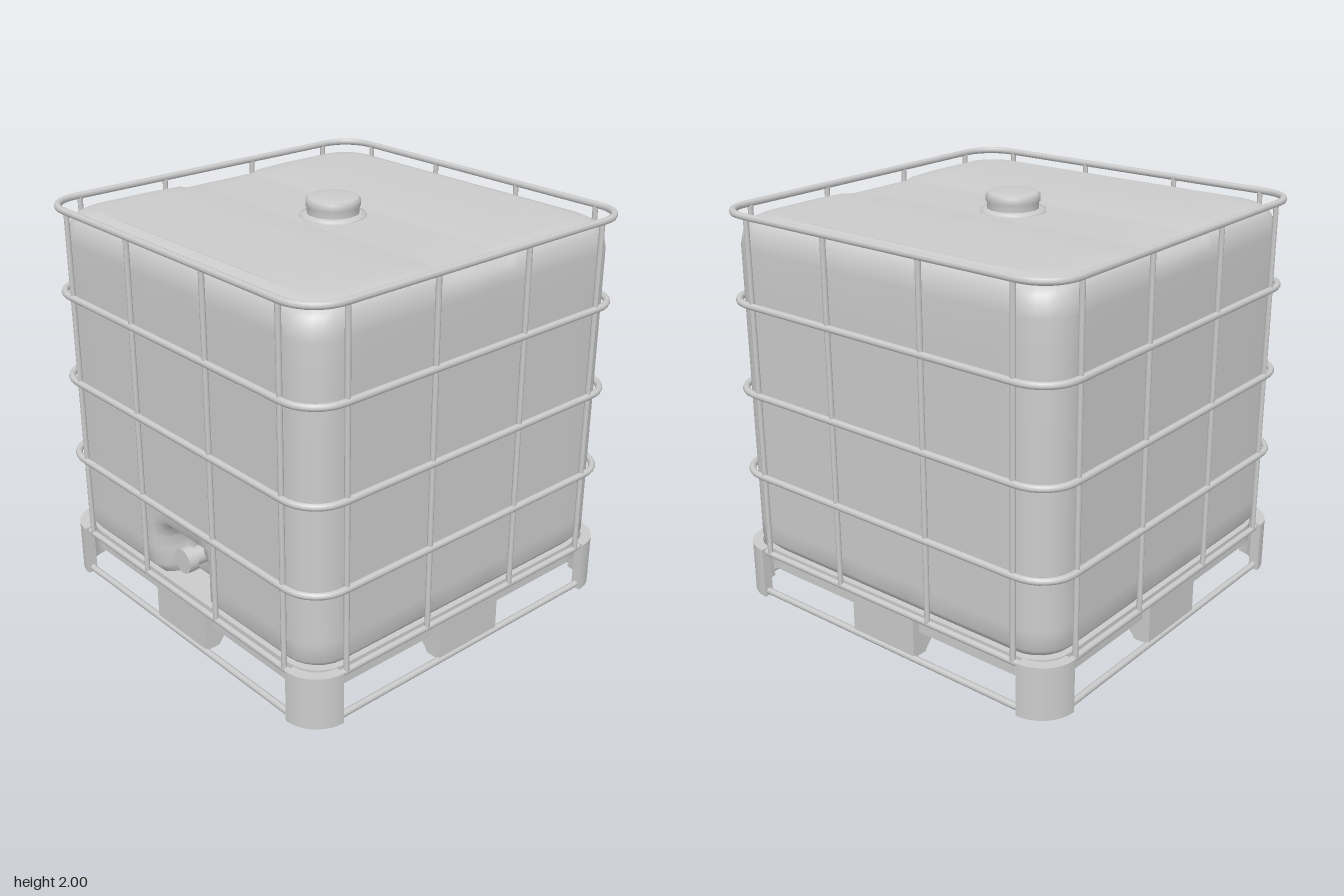
import * as THREE from 'three';

const grey = new THREE.MeshStandardMaterial({ color: 0xcccccc });
const thin = new THREE.MeshStandardMaterial({ color: 0xcccccc, side: THREE.DoubleSide });
const STOPS = [-0.66, -0.45, -0.27, -0.22, -0.18, -0.13, 0, 0.13, 0.18, 0.22, 0.27, 0.45, 0.66];

function add(parent, name, geometry, material = grey) {
  const mesh = new THREE.Mesh(geometry, material);
  mesh.name = name;
  parent.add(mesh);
  return mesh;
}

// Rounded square outline as [x, z], counter-clockwise seen from above
function outline(half, radius, steps = 6) {
  const points = [];
  const c = half - radius;
  for (let side = 0; side < 4; side++) {
    const a = side * Math.PI / 2;
    const put = (u, v) => points.push([
      u * Math.cos(a) - v * Math.sin(a), -(u * Math.sin(a) + v * Math.cos(a))]);
    for (const s of STOPS) put(half, s);
    for (let k = 0; k <= steps; k++) {
      const t = k / steps * Math.PI / 2;
      put(c + radius * Math.cos(t), c + radius * Math.sin(t));
    }
  }
  return points;
}

const fade = (v, a, b) => 1 - THREE.MathUtils.smoothstep(v, a, b);

// Tank: stacked outlines with a shallow groove on top and a valve recess at the side
function tankGeometry() {
  const rows = [[0.25, 0.89], [0.27, 0.91], [0.31, 0.94], [0.4, 0.94], [0.46, 0.94], [0.5, 0.94],
    [0.54, 0.94], [0.58, 0.94], [0.65, 0.94], [1.1, 0.94], [1.6, 0.94], [1.78, 0.94],
    [1.83, 0.932], [1.87, 0.918], [1.895, 0.9], [1.912, 0.87], [1.922, 0.82]];
  const position = [], index = [];
  const put = (x, y, z) => {
    const recess = x < -0.8 ? 0.14 * fade(Math.abs(z), 0.13, 0.2) * fade(y, 0.46, 0.58) : 0;
    const groove = y > 1.85 ? 0.018 * fade(Math.abs(x), 0.2, 0.28) : 0;
    position.push(x + recess, y - groove, z);
  };
  for (const [y, half] of rows) {
    for (const [x, z] of outline(0.94, 0.17)) put(x * half / 0.94, y, z * half / 0.94);
  }
  // top closes towards the centre line
  for (const t of [0.9, 0.5, 0]) {
    for (const [x, z] of outline(0.94, 0.17)) put(x * 0.82 / 0.94, 1.924, z * t * 0.82 / 0.94);
  }
  const n = outline(0.94, 0.17).length;
  for (let j = 0; j < rows.length + 2; j++) {
    for (let i = 0; i < n; i++) {
      const a = j * n + i, b = j * n + (i + 1) % n;
      index.push(a, b, b + n, a, b + n, a + n);
    }
  }
  const g = new THREE.BufferGeometry();
  g.setAttribute('position', new THREE.Float32BufferAttribute(position, 3));
  g.setIndex(index);
  g.computeVertexNormals();
  return g;
}

// Closed tube round the tank
function hoop(y, half, radius) {
  const path = new THREE.CatmullRomCurve3(
    outline(half, 0.17).map(([x, z]) => new THREE.Vector3(x, y, z)), true);
  return new THREE.TubeGeometry(path, 200, radius, 8, true);
}

function upright(shape, depth) {
  return new THREE.ExtrudeGeometry(shape, { depth, bevelEnabled: false, curveSegments: 10 })
    .rotateX(-Math.PI / 2);
}

export function createModel() {
  const model = new THREE.Group();
  model.name = 'containerTank';

  add(model, 'tank', tankGeometry(), thin);

  // Filler flange and domed cap
  const lathe = (pairs, sides) =>
    new THREE.LatheGeometry(pairs.map(([x, y]) => new THREE.Vector2(x, y)), sides);
  add(model, 'fillerFlange', lathe([[0.157, 1.895], [0.157, 1.915], [0.13, 1.922], [0.125, 1.922]], 14), thin);
  add(model, 'cap', lathe([[0.122, 1.915], [0.122, 1.953], [0.128, 1.956], [0.128, 1.985],
    [0.115, 1.996], [0.07, 2], [0, 2]], 24), thin);

  // Outlet valve in the recess
  const valve = new THREE.Group();
  valve.name = 'valve';
  model.add(valve);
  for (const [name, radius, length, x] of [['valveNeck', 0.045, 0.14, -0.83], ['valveCap', 0.062, 0.05, -0.91]]) {
    add(valve, name, new THREE.CylinderGeometry(radius, radius, length, 16).rotateZ(Math.PI / 2))
      .position.set(x, 0.42, 0);
  }

  // Base pan
  const pan = new THREE.Shape(outline(0.92, 0.17).map(([x, z]) => new THREE.Vector2(x, -z)));
  add(model, 'basePan', upright(pan, 0.1)).position.y = 0.15;

  // Cage hoops and base frame
  for (const y of [0.66, 1.08, 1.52, 1.94]) add(model, 'cageHoop', hoop(y, 0.958, 0.017));
  add(model, 'baseRim', hoop(0.242, 0.95, 0.016));
  add(model, 'groundFrame', hoop(0.026, 0.955, 0.016));

  // Curved corner leg section
  const corner = new THREE.Shape();
  corner.moveTo(0.8, 0.98);
  corner.absarc(0.8, 0.8, 0.18, Math.PI / 2, 0, true);
  corner.lineTo(0.93, 0.8);
  corner.absarc(0.8, 0.8, 0.13, 0, Math.PI / 2, false);
  corner.closePath();

  // Middle foot profile: upright outside, scooped inside
  const foot = new THREE.Shape();
  foot.moveTo(0.96, 0.03);
  foot.lineTo(0.96, 0.23);
  foot.lineTo(0.66, 0.23);
  foot.lineTo(0.66, 0.155);
  foot.quadraticCurveTo(0.82, 0.13, 0.88, 0.03);
  foot.closePath();

  // Four equal sides
  for (let s = 0; s < 4; s++) {
    const side = new THREE.Group();
    side.name = 'cageSide';
    side.rotation.y = s * Math.PI / 2;
    model.add(side);
    add(side, 'cornerLeg', upright(corner, 0.262));
    add(side, 'middleFoot', new THREE.ExtrudeGeometry(foot,
      { depth: 0.38, bevelEnabled: false, curveSegments: 10 }).translate(0, 0, -0.19));
    for (const z of [-0.765, -0.275, 0.275, 0.765]) {
      add(side, 'cageBar', new THREE.CylinderGeometry(0.013, 0.013, 1.69, 8)).position.set(0.955, 1.09, z);
    }
  }
  return model;
}
